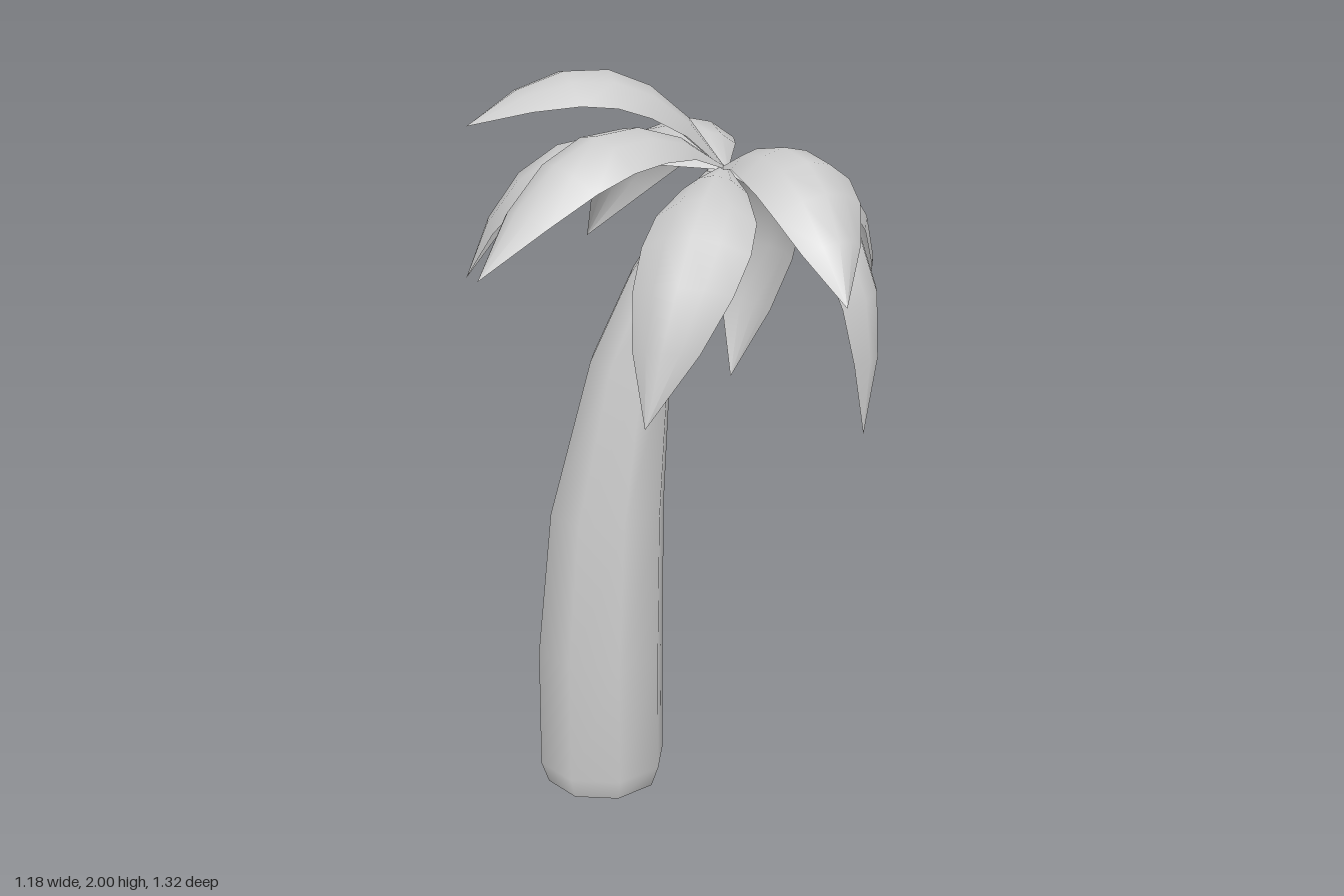
import * as THREE from 'three';
import { mergeVertices } from 'three/addons/utils/BufferGeometryUtils.js';
import { ParametricGeometry } from 'three/addons/geometries/ParametricGeometry.js';

const V = (x, y, z) => new THREE.Vector3(x, y, z);
const CROWN = V(0.13, 1.72, 0.015);

// Trunk rings from the ground up: centre x, y, radius
const RINGS = [
  [-0.215, 0, 0.155], [-0.215, 0.06, 0.176], [-0.215, 0.4, 0.176], [-0.193, 0.8, 0.158],
  [-0.125, 1.22, 0.111], [-0.04, 1.45, 0.085], [0.06, 1.62, 0.068], [0.12, 1.71, 0.035],
];

// Fronds: a point halfway along the spine, the tip, and the way the blade faces (x, z)
const FRONDS = [
  [V(-0.18, 1.995, 0.018), V(-0.545, 1.87, -0.005), [-1, 0]],
  [V(-0.26, 1.867, 0.178), V(-0.595, 1.555, 0.29), [-0.93, 0.36]],
  [V(-0.255, 1.75, -0.215), V(-0.485, 1.37, -0.33), [-0.86, -0.51]],
  [V(0.1, 1.745, -0.39), V(-0.055, 1.36, -0.66), [-0.08, -0.99]],
  [V(0.23, 1.81, 0.365), V(0.23, 1.52, 0.655), [0.22, 0.97]],
  [V(-0.075, 1.65, 0.378), V(-0.23, 1.2, 0.49), [-0.53, 0.85]],
  [V(0.485, 1.645, -0.065), V(0.59, 1.25, -0.1), [0.98, -0.18]],
  [V(0.405, 1.575, 0.295), V(0.38, 1.09, 0.41), [0.84, 0.54]],
  [V(0.365, 1.53, -0.25), V(0.26, 1.02, -0.3), [0.84, -0.54]],
];

// Half widths from crown to tip
const WIDTHS = [0.015, 0.085, 0.13, 0.14, 0.128, 0.087, 0];

function trunkGeometry() {
  const rows = RINGS.length - 1;
  const tube = new THREE.CylinderGeometry(1, 1, 1, 8, rows, true);
  const pos = tube.attributes.position;
  for (let i = 0; i < pos.count; i++) {
    const [cx, y, r] = RINGS[Math.round((pos.getY(i) + 0.5) * rows)];
    pos.setXYZ(i, cx + pos.getX(i) * r, y, CROWN.z + pos.getZ(i) * r);
  }
  // Weld the seam so the shading is smooth all round
  tube.deleteAttribute('uv');
  tube.deleteAttribute('normal');
  const welded = mergeVertices(tube);
  welded.computeVertexNormals();
  return welded;
}

function frondGeometry(mid, tip, [faceX, faceZ]) {
  // Arched spine passing through the halfway point
  const control = mid.clone().multiplyScalar(2).addScaledVector(CROWN, -0.5).addScaledVector(tip, -0.5);
  const spine = new THREE.QuadraticBezierCurve3(CROWN, control, tip);
  const side = V(-faceZ, 0, faceX).normalize();
  const steps = WIDTHS.length - 1;
  const geometry = new ParametricGeometry((u, v, target) => {
    const across = u * 2 - 1;
    const w = WIDTHS[Math.round(v * steps)];
    const up = side.clone().cross(spine.getTangent(v)).normalize();
    // Both edges droop below the spine
    target.copy(spine.getPoint(v))
      .addScaledVector(side, across * w)
      .addScaledVector(up, -0.5 * w * across * across);
  }, 4, steps);
  geometry.computeVertexNormals();
  return geometry;
}

export function createModel() {
  const palm = new THREE.Group();
  palm.name = 'palmTree';
  const grey = new THREE.MeshStandardMaterial({ color: 0xcccccc });
  const leaf = new THREE.MeshStandardMaterial({ color: 0xcccccc, side: THREE.DoubleSide });

  const trunk = new THREE.Mesh(trunkGeometry(), grey);
  trunk.name = 'trunk';
  palm.add(trunk);

  // Flat underside and small top cap of the trunk
  [[RINGS[0], Math.PI / 2, 'trunkBase'], [RINGS[RINGS.length - 1], -Math.PI / 2, 'trunkTop']]
    .forEach(([[x, y, r], turn, name]) => {
      const cap = new THREE.Mesh(new THREE.CircleGeometry(r, 8), grey);
      cap.rotation.x = turn;
      cap.position.set(x, y, CROWN.z);
      cap.name = name;
      palm.add(cap);
    });

  FRONDS.forEach(([mid, tip, facing], i) => {
    const frond = new THREE.Mesh(frondGeometry(mid, tip, facing), leaf);
    frond.name = `frond${i + 1}`;
    palm.add(frond);
  });
  return palm;
}
